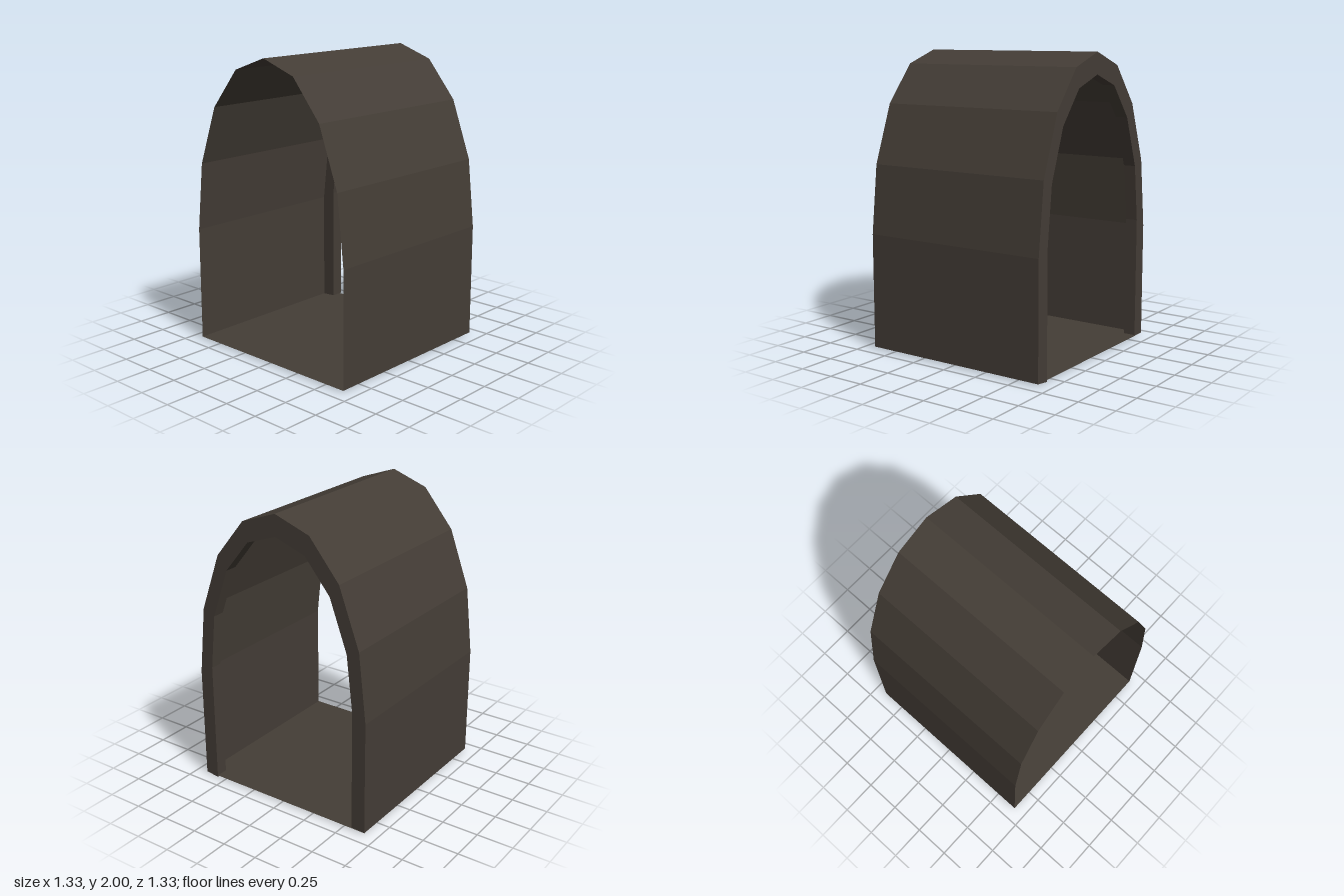
import * as THREE from 'three';

const HALF = 0.663;       // half the tunnel's length
const FLOOR_Y = 0.012;
const RIM_DEPTH = 0.085;

// right half of each arch, from the foot up to the crown
const OUTER = [[0.663, FLOOR_Y], [0.663, 0.79], [0.612, 1.255], [0.468, 1.65], [0.254, 1.91], [0, 2]];
const INNER = [[0.565, FLOOR_Y], [0.565, 0.84], [0.523, 1.22], [0.4, 1.56], [0.219, 1.78], [0, 1.857]];

// full arch from the -x foot over the crown to the +x foot
function arch(half) {
  const left = half.map(([x, y]) => [-x, y]);
  return [...left, ...half.slice(0, -1).reverse()];
}

export function createModel() {
  const group = new THREE.Group();
  group.name = 'archedTunnel';
  const stone = new THREE.MeshStandardMaterial({ color: 0x443d36, flatShading: true, side: THREE.DoubleSide });
  stone.name = 'dark stone';

  const add = (name, geometry) => {
    const mesh = new THREE.Mesh(geometry, stone);
    mesh.name = name;
    group.add(mesh);
    return mesh;
  };

  // thin vault: a strip bent along the outer arch
  const outer = arch(OUTER);
  const strip = new THREE.PlaneGeometry(1, 1, outer.length - 1, 1);
  const pos = strip.attributes.position;
  for (let i = 0; i < pos.count; i++) {
    const [x, y] = outer[i % outer.length];
    pos.setXYZ(i, x, y, i < outer.length ? -HALF : HALF);
  }
  const vault = strip.toNonIndexed();
  vault.computeVertexNormals();
  add('vault', vault);

  // floor sheet
  const floor = add('floor', new THREE.PlaneGeometry(2 * HALF, 2 * HALF).rotateX(-Math.PI / 2));
  floor.position.y = FLOOR_Y;

  // thick rim around the back opening, its inner feet slightly uneven
  const inner = arch(INNER);
  inner[0] = [-0.565, 0.018];
  inner[inner.length - 1] = [0.565, 0];
  const profile = [...outer, ...inner.reverse()].map(([x, y]) => new THREE.Vector2(x, y));
  const rim = add('backRim', new THREE.ExtrudeGeometry(new THREE.Shape(profile), { depth: RIM_DEPTH, bevelEnabled: false }));
  rim.position.z = -HALF;

  return group;
}
